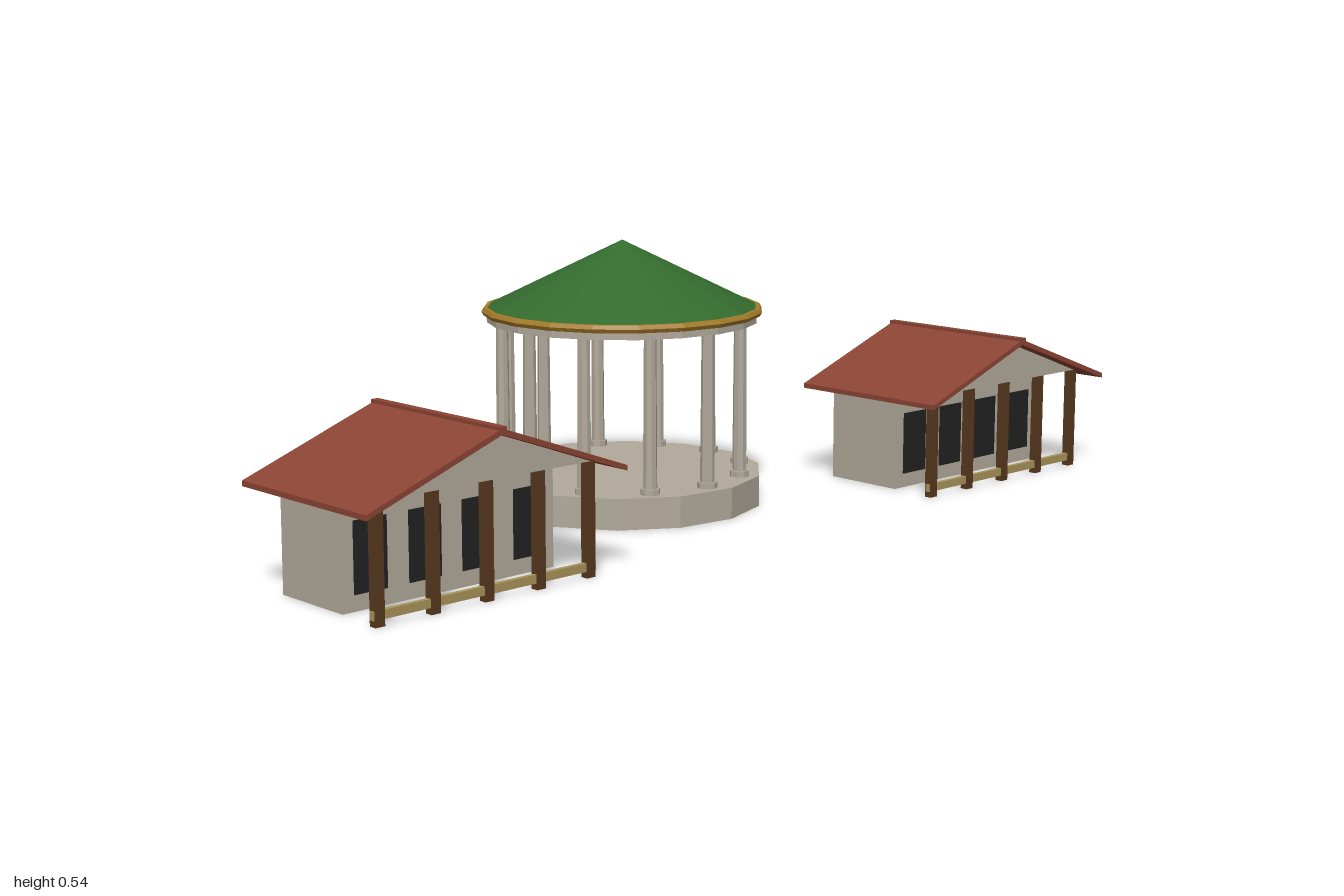
import * as THREE from 'three';

const mat = (name, color) => {
  const m = new THREE.MeshStandardMaterial({ color, flatShading: true });
  m.name = name;
  return m;
};

export function createModel() {
  const stone = mat('stone', 0xb2a99b);
  const green = mat('green roof', 0x336b2e);
  const gold = mat('gold trim', 0xa67c2a);
  const red = mat('red tile', 0x8b4433);
  const brown = mat('dark wood', 0x56381f);
  const pale = mat('pale wood', 0xa8935a);
  const black = mat('dark glass', 0x222222);

  const model = new THREE.Group();

  const add = (parent, name, geo, material, x = 0, y = 0, z = 0) => {
    const mesh = new THREE.Mesh(geo, material);
    mesh.name = name;
    mesh.position.set(x, y, z);
    parent.add(mesh);
    return mesh;
  };
  const box = (w, h, d) => new THREE.BoxGeometry(w, h, d);

  // Prism along z from an outline in x and y
  const prism = (points, z0, z1) => {
    const shape = new THREE.Shape(points.map(([x, y]) => new THREE.Vector2(x, y)));
    return new THREE.ExtrudeGeometry(shape, { depth: z1 - z0, bevelEnabled: false }).translate(0, 0, z0);
  };

  // Round pavilion
  const pavilion = new THREE.Group();
  pavilion.name = 'pavilion';
  pavilion.position.z = -0.095;
  model.add(pavilion);

  const base = add(pavilion, 'base', new THREE.CylinderGeometry(0.289, 0.289, 0.063, 14), stone, 0, 0.0315);
  base.rotation.y = Math.PI / 28;

  const plinthGeo = new THREE.CylinderGeometry(0.02, 0.02, 0.012, 8);
  const shaftGeo = new THREE.CylinderGeometry(0.0125, 0.0145, 0.302, 8);
  for (let i = 0; i < 12; i++) {
    const a = (i / 12) * Math.PI * 2;
    const column = new THREE.Group();
    column.name = 'column';
    column.position.set(Math.sin(a) * 0.25, 0, Math.cos(a) * 0.25);
    column.rotation.y = a;
    add(column, 'columnFoot', plinthGeo, stone, 0, 0.069);
    add(column, 'columnShaft', shaftGeo, stone, 0, 0.226);
    pavilion.add(column);
  }

  add(pavilion, 'ceilingRing', new THREE.CylinderGeometry(0.278, 0.278, 0.022, 20), stone, 0, 0.386);
  add(pavilion, 'eaveTrim', new THREE.TorusGeometry(0.28, 0.009, 6, 20).rotateX(Math.PI / 2), gold, 0, 0.397);
  add(pavilion, 'coneRoof', new THREE.ConeGeometry(0.284, 0.139, 20), green, 0, 0.4705);

  // Two matching houses
  for (const side of [-1, 1]) {
    const house = new THREE.Group();
    house.name = side < 0 ? 'rightHouse' : 'leftHouse';
    house.position.x = side * 0.7125;
    model.add(house);

    add(house, 'walls', box(0.472, 0.215, 0.177), stone, 0, 0.1075, 0.1485);
    add(house, 'gable', prism([[-0.233, 0.215], [0.233, 0.215], [0, 0.301]], 0.028, 0.345), stone);

    // Roof with ridge cap
    add(house, 'roof', prism([
      [-0.2875, 0.196], [0, 0.3], [0.2875, 0.196],
      [0.2875, 0.206], [0, 0.311], [-0.2875, 0.206],
    ], 0.02, 0.382), red);
    add(house, 'ridgeCap', box(0.016, 0.012, 0.366), red, 0, 0.3085, 0.201);

    // Porch posts and low rail
    for (let i = -2; i <= 2; i++) {
      add(house, 'porchPost', box(0.02, 0.217, 0.016), brown, i * 0.1175, 0.1085, 0.335);
    }
    add(house, 'porchRail', box(0.496, 0.016, 0.01), pale, 0, 0.02, 0.336);

    // Dark openings between the posts
    for (let i = -1.5; i <= 1.5; i++) {
      add(house, 'opening', box(0.07, 0.13, 0.004), black, i * 0.1175, 0.095, 0.2375);
    }
  }

  return model;
}
